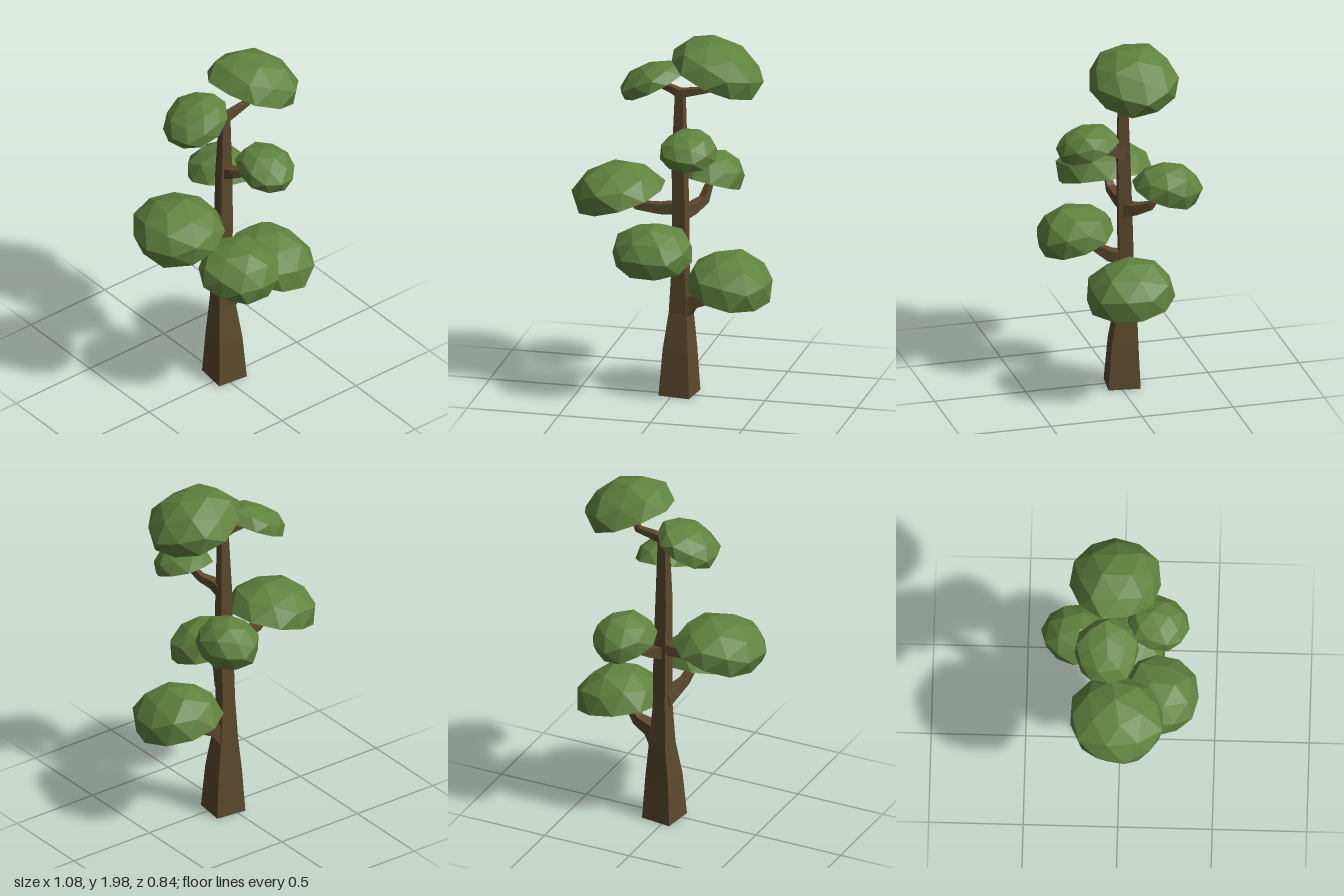
import * as THREE from 'three';

const bark = new THREE.MeshStandardMaterial({ color: 0x5c492d });
bark.name = 'bark brown';
const leaf = new THREE.MeshStandardMaterial({ color: 0x60833f });
leaf.name = 'leaf green';

// Square-sectioned limb swept through stations [x, y, z, half width]
function limb(name, stations, ref) {
  const p = stations.map(s => new THREE.Vector3(s[0], s[1], s[2]));
  const n = p.length, pos = [], idx = [];
  const corners = [[1, 1], [-1, 1], [-1, -1], [1, -1]];
  for (let i = 0; i < n; i++) {
    const t = p[Math.min(i + 1, n - 1)].clone().sub(p[Math.max(i - 1, 0)]).normalize();
    const u = new THREE.Vector3().crossVectors(ref, t).normalize();
    const v = new THREE.Vector3().crossVectors(t, u);
    for (const [a, b] of corners) {
      const q = p[i].clone().addScaledVector(u, a * stations[i][3]).addScaledVector(v, b * stations[i][3]);
      if (name === 'trunk') q.y = p[i].y; // trunk rings stay level
      pos.push(q.x, q.y, q.z);
    }
  }
  for (let i = 0; i < n - 1; i++) for (let j = 0; j < 4; j++) {
    const a = i * 4 + j, b = i * 4 + (j + 1) % 4;
    idx.push(a, b, b + 4, a, b + 4, a + 4);
  }
  const e = (n - 1) * 4;
  idx.push(0, 2, 1, 0, 3, 2, e, e + 1, e + 2, e, e + 2, e + 3);
  let g = new THREE.BufferGeometry();
  g.setAttribute('position', new THREE.Float32BufferAttribute(pos, 3));
  g.setIndex(idx);
  g = g.toNonIndexed();
  g.computeVertexNormals();
  const m = new THREE.Mesh(g, bark);
  m.name = name;
  return m;
}

// Faceted dome leaning outward; its lower half folds into a flat rim with a hollow
function canopy(name, centre, rx, rz, height, lean, up, seed) {
  const g = new THREE.IcosahedronGeometry(1, 1);
  g.rotateZ(-Math.atan(2 / (1 + Math.sqrt(5)))); // a vertex at the pole
  g.rotateY(seed * 1.3);
  const a = g.attributes.position, v = new THREE.Vector3();
  const axis = new THREE.Vector3(...up).normalize();
  const out = new THREE.Vector3(axis.x, 0, axis.z).normalize();
  for (let i = 0; i < a.count; i++) {
    v.fromBufferAttribute(a, i);
    const w = 1 + 0.05 * Math.sin(v.x * 5 + seed * 3) * Math.cos(v.z * 4 - seed * 2 + v.y * 3);
    if (v.y < -0.01) {
      v.set(v.x * 0.92, 0.5 * THREE.MathUtils.smoothstep(-v.y, 0.45, 1), v.z * 0.92);
    } else {
      const low = v.y < 0.1 ? 0.98 : 1.04;
      v.set(v.x * w * low, v.y * w, v.z * w * low);
    }
    const shift = lean * v.y;
    a.setXYZ(i, v.x * rx + out.x * shift, v.y * height, v.z * rz + out.z * shift);
  }
  g.computeVertexNormals();
  const m = new THREE.Mesh(g, leaf);
  m.name = name;
  m.position.set(...centre);
  m.quaternion.setFromUnitVectors(new THREE.Vector3(0, 1, 0), axis);
  return m;
}

export function createModel() {
  const tree = new THREE.Group();
  tree.name = 'tree';

  // Tapering trunk, turned slightly about its axis
  tree.add(limb('trunk', [
    [0.028, 0, -0.022, 0.086], [0.029, 0.25, -0.027, 0.071], [0.032, 0.45, -0.042, 0.051],
    [0.029, 0.68, -0.042, 0.038], [0.032, 1.0, -0.034, 0.036], [0.028, 1.3, -0.028, 0.033],
    [0.032, 1.69, -0.025, 0.022],
  ], new THREE.Vector3(-0.12, 0, 0.99)));

  // Bent branches, each ending inside a canopy
  const branches = {
    lowerLeftBranch: [[0.04, 0.45, -0.04, 0.047], [0.1, 0.515, -0.03, 0.036], [0.19, 0.54, -0.01, 0.026], [0.26, 0.62, 0, 0.016]],
    lowerFrontBranch: [[0.02, 0.715, -0.04, 0.037], [0, 0.735, 0.04, 0.029], [-0.03, 0.77, 0.1, 0.022], [-0.06, 0.86, 0.19, 0.015]],
    middleRightBranch: [[0.03, 1.03, -0.035, 0.033], [-0.08, 1.02, -0.03, 0.027], [-0.2, 1.03, -0.02, 0.021], [-0.28, 1.1, -0.02, 0.014]],
    middleBackBranch: [[0.035, 1.0, -0.035, 0.036], [0.085, 1.015, -0.09, 0.028], [0.13, 1.045, -0.15, 0.022], [0.155, 1.14, -0.2, 0.014]],
    upperFrontBranch: [[0.03, 1.32, -0.03, 0.033], [0.045, 1.345, 0.04, 0.025], [0.08, 1.365, 0.1, 0.019], [0.12, 1.43, 0.18, 0.013]],
    topRightBranch: [[0.035, 1.67, -0.025, 0.022], [-0.02, 1.69, -0.035, 0.018], [-0.07, 1.70, -0.05, 0.015], [-0.12, 1.73, -0.065, 0.011]],
    topLeftBranch: [[0.03, 1.67, -0.025, 0.022], [0.1, 1.685, -0.025, 0.019], [0.18, 1.70, -0.028, 0.016], [0.21, 1.79, -0.03, 0.012]],
  };
  const up = new THREE.Vector3(0, 1, 0);
  for (const [name, stations] of Object.entries(branches)) tree.add(limb(name, stations, up));

  // Leaf canopies: centre, radii, height, lean, upward direction
  const canopies = [
    ['topLeftCanopy', [0.21, 1.785, -0.03], 0.255, 0.245, 0.2, 0.03, [0.44, 1, 0.02]],
    ['topRightCanopy', [-0.125, 1.69, -0.068], 0.182, 0.174, 0.12, 0.02, [-0.5, 1, 0.05]],
    ['upperFrontCanopy', [0.13, 1.408, 0.185], 0.155, 0.168, 0.13, 0.03, [0.05, 1, 0.37]],
    ['middleRightCanopy', [-0.28, 1.07, -0.015], 0.24, 0.26, 0.2, 0.05, [-0.3, 1, 0.06]],
    ['middleBackCanopy', [0.15, 1.12, -0.22], 0.168, 0.185, 0.178, 0.04, [0.2, 1, -0.3]],
    ['lowerFrontCanopy', [-0.06, 0.82, 0.2], 0.225, 0.213, 0.19, 0.03, [0.02, 1, 0.33]],
    ['lowerLeftCanopy', [0.3, 0.6, 0.005], 0.235, 0.245, 0.22, 0.01, [0.2, 1, 0.14]],
  ];
  canopies.forEach((c, i) => tree.add(canopy(...c, i + 1)));
  return tree;
}
